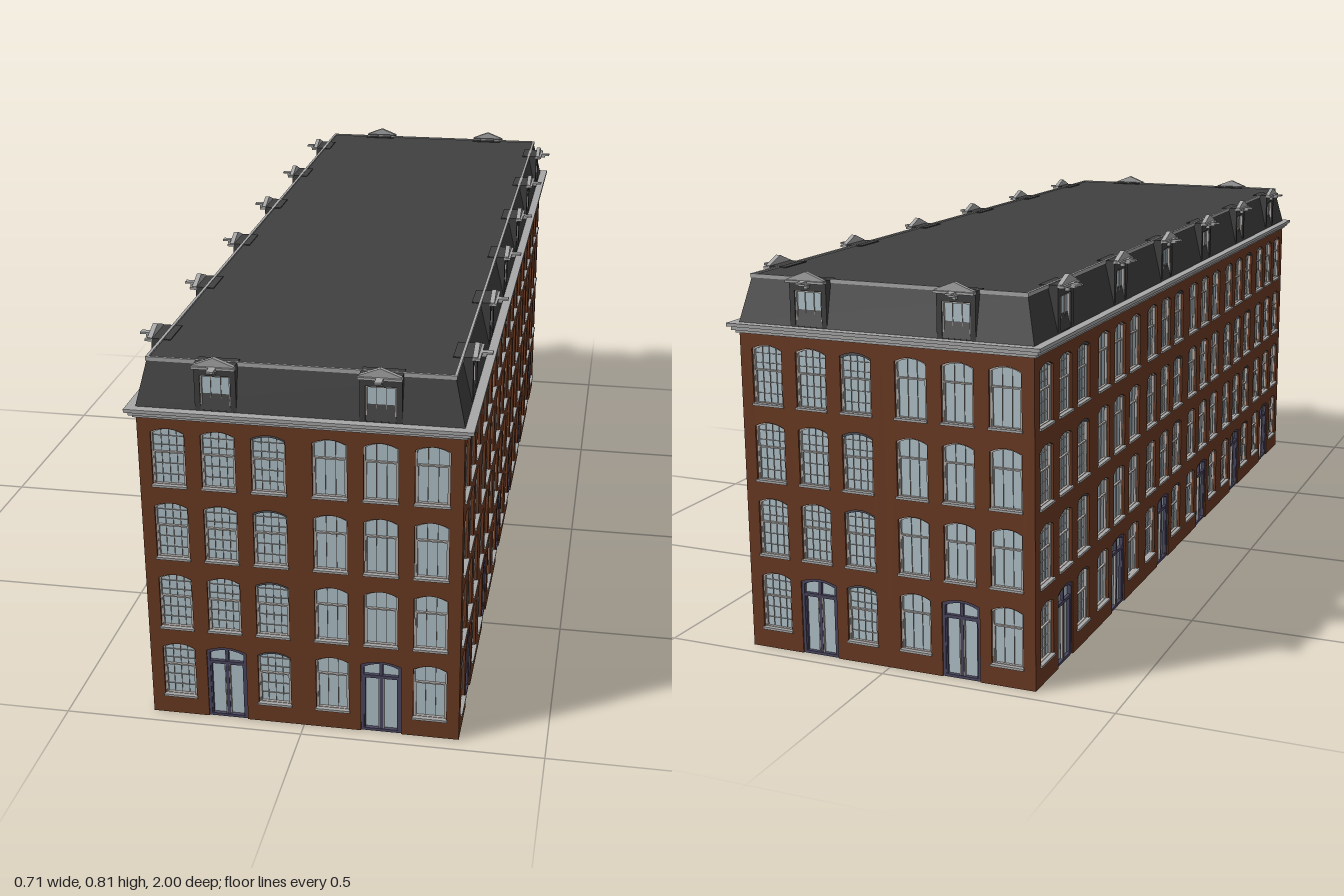
import * as THREE from 'three';
import { mergeGeometries } from 'three/addons/utils/BufferGeometryUtils.js';

const BAY = 0.322, HX = BAY, HZ = BAY * 3;      // bay width, half footprint
const WALL_H = 0.676, WALL_T = 0.012;
const COL = 0.1005, ROW = 0.1615, SILL = 0.043; // window spacing
const WIN_W = 0.068, WIN_H = 0.124, DOOR_W = 0.083, DOOR_H = 0.167, RISE = 0.009;

const mat = (color, side = THREE.FrontSide) => new THREE.MeshStandardMaterial({ color, side, flatShading: true });
const M = {
  brick: mat(0x6b3a22), roof: mat(0x404040), glass: mat(0xb2c3cb, THREE.DoubleSide),
  trim: mat(0xa8a8a8), bars: mat(0xb4aeaa), door: mat(0x4a4660), lintel: mat(0x4c5058),
};

// Box given by centre x, bottom y, front z and its size
function box(x, y, z, w, h, d) {
  return new THREE.BoxGeometry(w, h, d).translate(x, y + h / 2, z - d / 2);
}

function pane(x, y, z, w, h) {
  return new THREE.PlaneGeometry(w, h).translate(x, y + h / 2, z);
}

// Opening with a shallow segmental arch
function archPath(P, x, y, w, h, rise = RISE) {
  const p = new P();
  p.moveTo(x - w / 2, y);
  p.lineTo(x + w / 2, y);
  p.lineTo(x + w / 2, y + h - rise);
  p.quadraticCurveTo(x, y + h + rise, x - w / 2, y + h - rise);
  p.closePath();
  return p;
}

function extrude(shape, front, depth) {
  return new THREE.ExtrudeGeometry(shape, { depth, bevelEnabled: false, curveSegments: 6 })
    .translate(0, 0, front - depth);
}

// Arched frame lining an opening
function archFrame(x, y, w, h, t, front, depth) {
  const s = archPath(THREE.Shape, x, y, w, h);
  s.holes.push(archPath(THREE.Path, x, y + t, w - 2 * t, h - 2 * t));
  return extrude(s, front, depth);
}

function mesh(name, parts, material) {
  const m = new THREE.Mesh(mergeGeometries(parts.map(g => (g.index ? g.toNonIndexed() : g))), material);
  m.name = name;
  return m;
}

// One sash window: frame, lower sash, glazing bars and sill
function addWindow(p, x, y, fine, shaded) {
  p.frames.push(archFrame(x, y, WIN_W, WIN_H, 0.003, -0.005, 0.006));
  const split = fine ? 0.069 : 0.08, w = WIN_W - 0.006;
  p.frames.push(box(x, y + split, -0.006, w, 0.003, 0.005));
  for (const s of [-1, 1]) p.frames.push(box(x + s * (w / 2 - 0.001), y, -0.006, 0.003, split, 0.004));
  const cols = fine ? 4 : 3;
  for (let i = 1; i < cols; i++)
    p.bars.push(box(x - w / 2 + (w * i) / cols, y, -0.01, 0.001, WIN_H - 0.003, 0.002));
  if (fine) for (const f of [0.17, 0.36, 0.68, 0.84])
    p.bars.push(box(x, y + WIN_H * f, -0.01, w, 0.001, 0.002));
  p.sills.push(box(x, y - 0.003, 0.004, WIN_W + 0.004, 0.005, 0.012));
  if (shaded) {
    // Dark strip under the arch
    const s = new THREE.Shape(), a = WIN_W / 2, t = y + WIN_H;
    s.moveTo(x - a, t - RISE - 0.005);
    s.quadraticCurveTo(x, t + RISE - 0.005, x + a, t - RISE - 0.005);
    s.lineTo(x + a, t - RISE);
    s.quadraticCurveTo(x, t + RISE, x - a, t - RISE);
    p.lintels.push(extrude(s, -0.003, 0.008));
  }
}

// Double door with a transom light
function addDoor(p) {
  p.doors.push(archFrame(0, 0, DOOR_W, DOOR_H, 0.006, -0.003, 0.008));
  p.doors.push(box(0, 0.126, -0.004, DOOR_W - 0.01, 0.007, 0.007));
  p.doors.push(box(0, 0, -0.005, 0.007, DOOR_H - 0.004, 0.006));
  for (const s of [-1, 1]) {
    p.doors.push(box(s * 0.034, 0, -0.005, 0.003, 0.128, 0.006));
    p.bars.push(box(s * 0.005, 0, -0.005, 0.002, 0.126, 0.005));
  }
}

// Roof dormer with a small pediment
function makeDormer() {
  const g = new THREE.Group();
  g.name = 'dormer';
  const y0 = 0.695, y1 = 0.785, hw = 0.041;
  const face = new THREE.Shape([[-hw, y0], [hw, y0], [hw, y1], [-hw, y1]].map(a => new THREE.Vector2(...a)));
  face.holes.push(new THREE.Path([[-0.03, y0 + 0.002], [-0.03, 0.768], [0.03, 0.768], [0.03, y0 + 0.002]]
    .map(a => new THREE.Vector2(...a))));
  g.add(mesh('dormerBody', [extrude(face, 0, 0.01), box(0, y0, -0.01, hw * 2, y1 - y0, 0.03),
    box(0, y1, 0, hw * 2, 0.006, 0.04)], M.roof));
  g.add(mesh('dormerGlass', [pane(0, y0, -0.008, 0.06, 0.073)], M.glass));
  const bars = [-1, 1].map(s => box(s * 0.0285, y0, -0.003, 0.003, 0.073, 0.005));
  bars.push(box(0, 0.765, -0.003, 0.06, 0.003, 0.005));
  for (const x of [-0.01, 0.01]) bars.push(box(x, y0, -0.006, 0.001, 0.073, 0.002));
  g.add(mesh('dormerFrame', bars, M.bars));
  const gable = new THREE.Shape([[-hw, 0.789], [hw, 0.789], [hw, 0.792], [0, 0.808], [-hw, 0.792]]
    .map(a => new THREE.Vector2(...a)));
  g.add(mesh('dormerPediment', [extrude(gable, 0.008, 0.01),
    box(0, 0.785, 0.013, hw * 2 + 0.004, 0.005, 0.015),
    box(0, 0.781, 0.022, 0.014, 0.005, 0.022), box(0, 0.786, 0.034, 0.014, 0.004, 0.034),
    box(0, 0.774, 0.008, 0.008, 0.008, 0.008)], M.trim));
  return g;
}

// One facade bay, outer wall face on z = 0
function makeBay(fine) {
  const g = new THREE.Group();
  const p = { frames: [], bars: [], sills: [], lintels: [], doors: [] };
  const wall = new THREE.Shape();
  const h = BAY / 2, d = DOOR_W / 2;
  // The wall outline runs around the doorway
  wall.moveTo(-h, 0);
  wall.lineTo(-d, 0);
  wall.lineTo(-d, DOOR_H - RISE);
  wall.quadraticCurveTo(0, DOOR_H + RISE, d, DOOR_H - RISE);
  wall.lineTo(d, 0);
  wall.lineTo(h, 0);
  wall.lineTo(h, WALL_H);
  wall.lineTo(-h, WALL_H);
  const glass = [pane(0, 0, -0.0125, DOOR_W, DOOR_H)];
  for (let r = 0; r < 4; r++) {
    const y = SILL + r * ROW;
    for (let c = -1; c <= 1; c++) {
      if (r === 0 && c === 0) continue;
      wall.holes.push(archPath(THREE.Path, c * COL, y, WIN_W, WIN_H));
      addWindow(p, c * COL, y, fine, fine && c === 1);
      if (r === 0) glass.push(pane(c * COL, y, -0.0125, WIN_W, WIN_H));
    }
    if (r > 0) glass.push(pane(0, y - 0.006, -0.0125, 0.296, WIN_H + 0.012));
  }
  addDoor(p);
  g.add(mesh('brickWall', [extrude(wall, 0, WALL_T)], M.brick));
  g.add(mesh('windowGlass', glass, M.glass));
  g.add(mesh('windowFrames', p.frames, M.bars));
  g.add(mesh('glazingBars', p.bars, M.bars));
  g.add(mesh('windowSills', p.sills, M.trim));
  if (p.lintels.length) g.add(mesh('archLintels', p.lintels, M.lintel));
  g.add(mesh('doorFrame', p.doors, M.door));
  g.add(makeDormer());
  return g;
}

export function createModel() {
  const model = new THREE.Group();
  model.name = 'terraceBlock';

  // Four facades of repeating, alternating bays
  const bays = [makeBay(true), makeBay(false)];
  const sides = [['front', 2, HZ, 0], ['left', 6, HX, 1], ['back', 2, HZ, 2], ['right', 6, HX, 3]];
  for (const [name, n, dist, turn] of sides) {
    const side = new THREE.Group();
    side.name = name + 'Facade';
    for (let i = 0; i < n; i++) {
      const b = bays[i % 2].clone();
      b.name = 'bay';
      b.position.set((i - (n - 1) / 2) * BAY, 0, dist);
      side.add(b);
    }
    side.rotation.y = (turn * Math.PI) / 2;
    model.add(side);
  }

  // Stepped cornice
  const steps = [[0.674, 0.008, 0.006], [0.68, 0.008, 0.012], [0.688, 0.007, 0.019]];
  model.add(mesh('cornice', steps.map(([y, h, o]) =>
    box(0, y, HZ + o, 2 * (HX + o), h, 2 * (HZ + o))), M.trim));

  // Mansard roof: a box with its top drawn in
  const y0 = 0.695, y1 = 0.789, inset = 0.022;
  const roof = box(0, y0, HZ, 2 * HX, y1 - y0, 2 * HZ);
  const pos = roof.attributes.position;
  for (let i = 0; i < pos.count; i++) {
    if (pos.getY(i) < y0 + 0.01) continue;
    pos.setX(i, pos.getX(i) - Math.sign(pos.getX(i)) * inset);
    pos.setZ(i, pos.getZ(i) - Math.sign(pos.getZ(i)) * inset);
  }
  roof.computeVertexNormals();
  model.add(mesh('mansardRoof', [roof], M.roof));

  // Light edging around the flat roof
  const tx = HX - inset + 0.003, tz = HZ - inset + 0.003, edge = [];
  for (const s of [-1, 1]) {
    edge.push(box(s * (tx - 0.003), y1 - 0.005, tz, 0.006, 0.008, 2 * tz));
    edge.push(box(0, y1 - 0.005, s * (tz - 0.003) + 0.003, 2 * tx, 0.008, 0.006));
  }
  model.add(mesh('roofEdging', edge, M.trim));
  return model;
}
